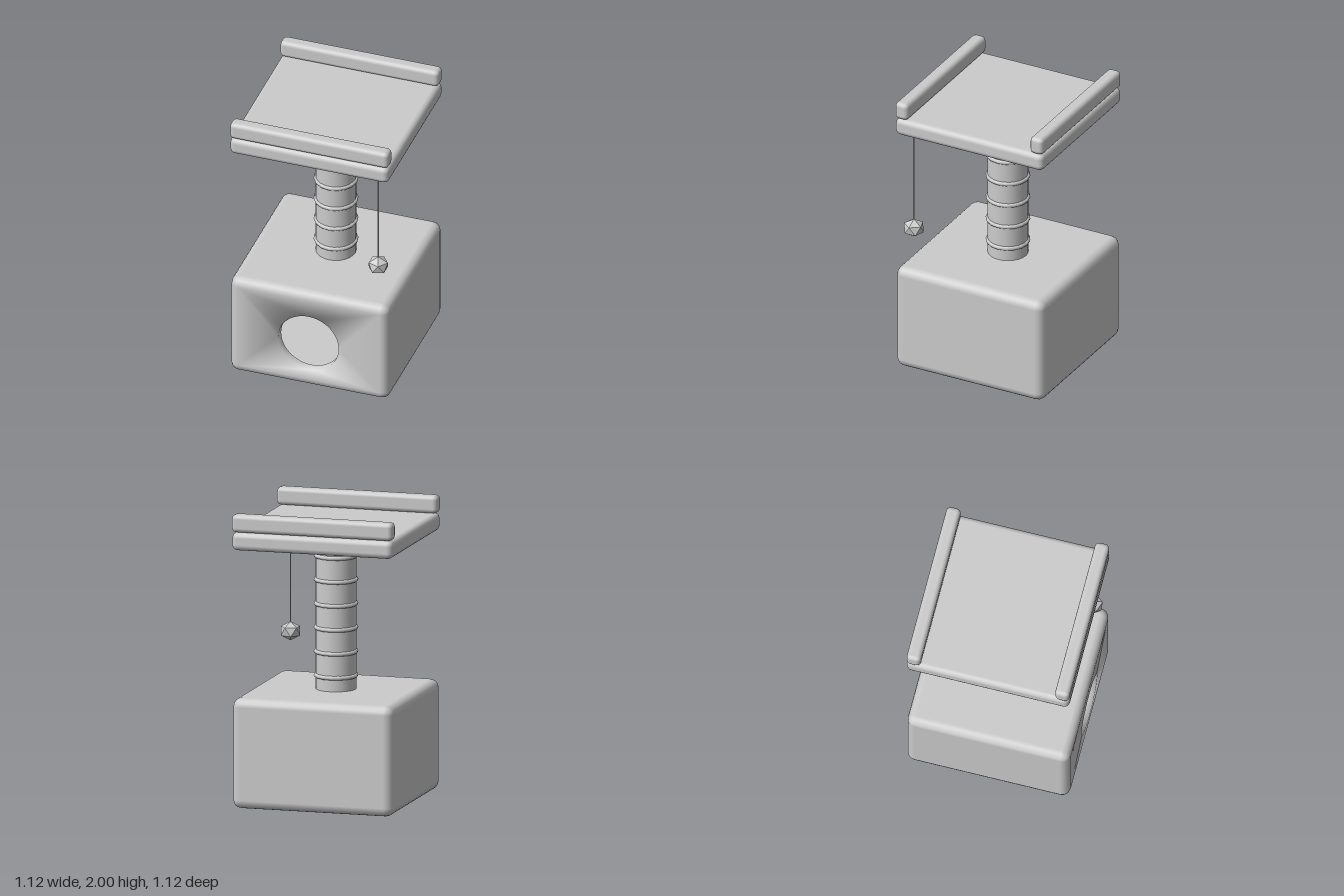
import * as THREE from 'three';
import { RoundedBoxGeometry } from 'three/addons/geometries/RoundedBoxGeometry.js';

export function createModel() {
  const model = new THREE.Group();
  const grey = new THREE.MeshStandardMaterial({ color: 0xcccccc });
  grey.name = 'grey';

  const add = (name, geometry, x, y, z) => {
    const mesh = new THREE.Mesh(geometry, grey);
    mesh.name = name;
    mesh.position.set(x, y, z);
    model.add(mesh);
    return mesh;
  };

  // House: rounded box, sitting on the ground, with its flat front panel left out
  const W = 1.12, H = 0.75, R = 0.06, half = W / 2;
  const shell = new RoundedBoxGeometry(W, H, W, 2, R).toNonIndexed();
  const p = shell.attributes.position, n = shell.attributes.normal;
  const kept = [];
  for (let i = 0; i < p.count; i += 3) {
    const onFront = [0, 1, 2].every(k => p.getZ(i + k) > half - 1e-4);
    if (!onFront) kept.push(i, i + 1, i + 2);
  }
  const house = new THREE.BufferGeometry();
  house.setAttribute('position', p);
  house.setAttribute('normal', n);
  house.setIndex(kept);
  add('house', house, 0, H / 2 + 0.003, 0);

  // Front panel: fans from the corners to a round doorway, then the doorway's short tunnel
  const pos = [], nor = [], idx = [];
  const px = half - R, py = H / 2 - R, r = 0.213, cy = -0.022, N = 48;
  const corners = [[px, py], [-px, py], [-px, -py], [px, -py]];
  const vert = (x, y, z, nx, ny, nz) => {
    const l = Math.hypot(nx, ny, nz);
    pos.push(x, y, z);
    nor.push(nx / l, ny / l, nz / l);
  };
  corners.forEach(([x, y]) => vert(x, y, half, 0, 0, 1));
  for (let i = 0; i < N; i++) {
    const a = i / N * Math.PI * 2, c = Math.cos(a), s = Math.sin(a);
    vert(c * r, cy + s * r, half, -c, -s, 1);
    vert(c * r, cy + s * r, half - R, -c, -s, 0);
  }
  const rim = i => 4 + (i % N) * 2;
  for (let i = 0; i < N; i++) {
    const q = Math.floor(i / (N / 4));
    idx.push(corners.length - 4 + q, rim(i + 1), rim(i));
    idx.push(rim(i), rim(i + 1), rim(i + 1) + 1, rim(i), rim(i + 1) + 1, rim(i) + 1);
  }
  for (let q = 0; q < 4; q++) idx.push(q, (q + 1) % 4, rim((q + 1) * N / 4));
  const panel = new THREE.BufferGeometry();
  panel.setAttribute('position', new THREE.Float32BufferAttribute(pos, 3));
  panel.setAttribute('normal', new THREE.Float32BufferAttribute(nor, 3));
  panel.setIndex(idx);
  add('doorPanel', panel, 0, H / 2 + 0.003, 0);

  // Inside of the house: box turned inside out, open towards the doorway
  const room = new THREE.BoxGeometry(W - 2 * R, H - 2 * R, W - 2 * R);
  const roomFaces = Array.from(room.index.array);
  roomFaces.splice(24, 6);
  room.setIndex(roomFaces.reverse());
  room.computeVertexNormals();
  add('houseInterior', room, 0, H / 2 + 0.003, 0);

  // Post with rope rings
  add('post', new THREE.CylinderGeometry(0.136, 0.136, 1.01, 24), 0, 1.255, 0);
  for (let i = 0; i < 6; i++) {
    const ring = add('ropeRing', new THREE.TorusGeometry(0.135, 0.015, 8, 16), 0, 0.845 + i * 0.1625, 0);
    ring.rotation.x = Math.PI / 2;
  }

  // Platform and its two edge bolsters
  add('platform', new RoundedBoxGeometry(W, 0.123, W, 2, 0.038), 0, 1.8175, 0);
  for (const side of [1, -1]) {
    add('bolster', new RoundedBoxGeometry(W, 0.121, 0.098, 2, 0.03), 0, 1.9395, side * 0.511);
  }

  // Hanging toy: cord and faceted ball standing on a point
  add('cord', new THREE.CylinderGeometry(0.005, 0.005, 0.7, 8), 0.46, 1.42, 0.465);
  const ball = new THREE.IcosahedronGeometry(0.075, 0);
  ball.rotateX(-Math.atan((1 + Math.sqrt(5)) / 2));
  ball.rotateY(Math.PI / 2);
  ball.scale(1, 0.86, 1);
  add('toyBall', ball, 0.46, 1.031, 0.465);

  return model;
}
